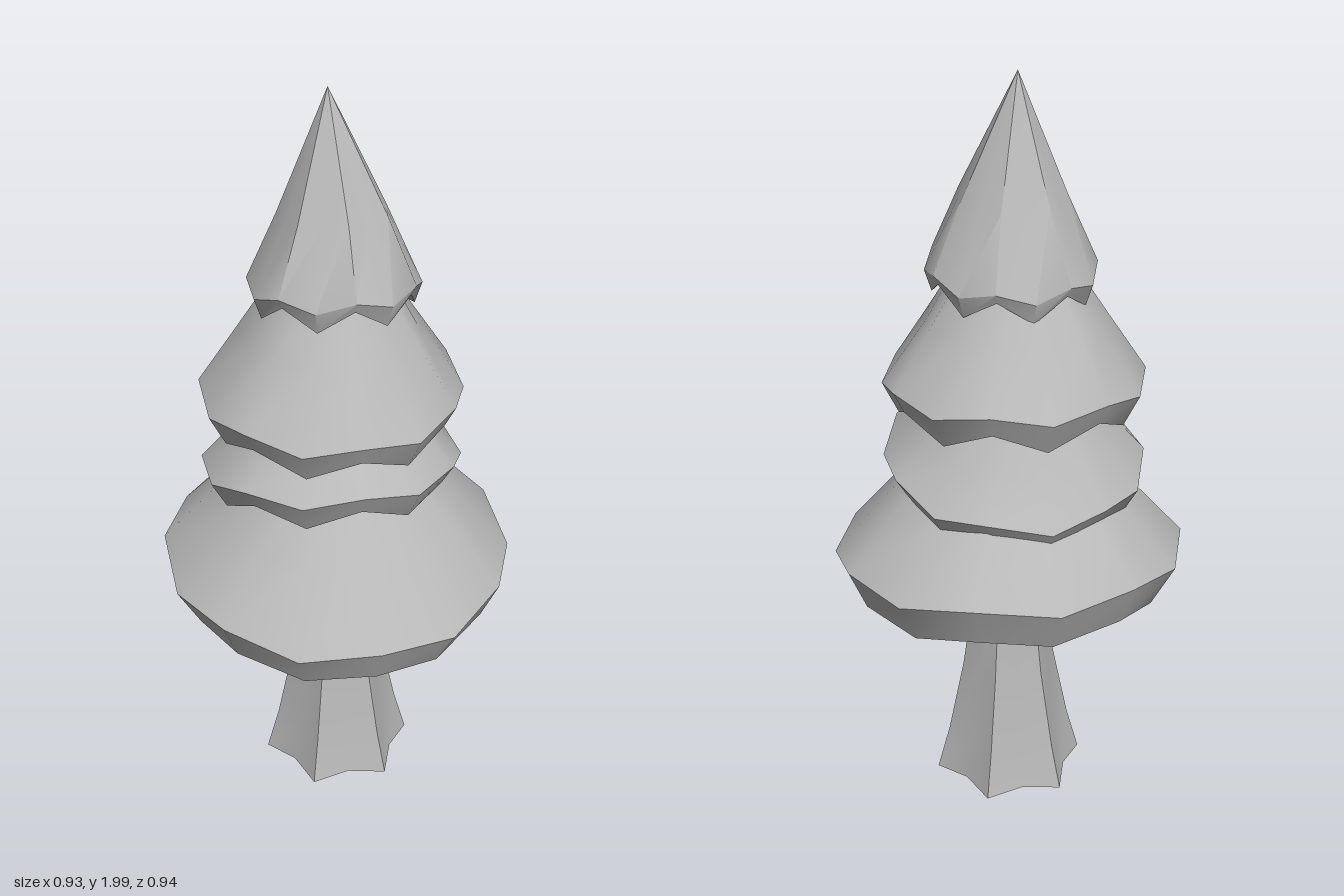
import * as THREE from 'three';
import { toCreasedNormals } from 'three/addons/utils/BufferGeometryUtils.js';

const grey = new THREE.MeshStandardMaterial({ color: 0xb8b8b8 });
grey.name = 'grey';

// Skin between rings listed from top to bottom. A ring gives the radius and height of
// its even columns (r, y) and odd columns (r2, y2), plus a tilt of height along z.
function loft(name, sides, turn, rings, crease) {
  const pos = [], index = [];
  rings.forEach(({ r, y, r2 = r, y2 = y, tilt = 0, x = 0, z = 0 }) => {
    for (let i = 0; i < sides; i++) {
      const a = turn + (i / sides) * Math.PI * 2;
      const rad = i % 2 ? r2 : r;
      const pz = Math.cos(a) * rad + z;
      pos.push(Math.sin(a) * rad + x, (i % 2 ? y2 : y) + tilt * pz, pz);
    }
  });
  for (let j = 0; j < rings.length - 1; j++) {
    for (let i = 0; i < sides; i++) {
      const n = (i + 1) % sides;
      const a = j * sides + i, b = j * sides + n, c = a + sides, d = b + sides;
      if (rings[j].r > 0) index.push(a, c, b);
      if (rings[j + 1].r > 0) index.push(b, c, d);
      else if (rings[j].r > 0) index.splice(index.length - 3, 3, a, c, b);
    }
  }
  const geo = new THREE.BufferGeometry();
  geo.setAttribute('position', new THREE.Float32BufferAttribute(pos, 3));
  geo.setIndex(index);
  const mesh = new THREE.Mesh(toCreasedNormals(geo, crease), grey);
  mesh.name = name;
  return mesh;
}

export function createModel() {
  const tree = new THREE.Group();
  tree.name = 'pineTree';

  // Flared trunk with root lobes
  tree.add(loft('trunk', 12, Math.PI / 6, [
    { r: 0.085, y: 0.72 },
    { r: 0.1, r2: 0.09, y: 0.58 },
    { r: 0.13, r2: 0.115, y: 0.36 },
    { r: 0.175, r2: 0.14, y: 0.14 },
    { r: 0.21, r2: 0.165, y: 0.012, y2: 0.02 },
    { r: 0, y: 0.03 },
  ], 0.8));

  // Leaf tiers: shoulder, widest ring, zigzag hem and hollow underside
  const tiers = [
    { name: 'bottomTier', top: [0.17, 1.06], mid: [0.33, 0.9, 0.315], wide: [0.472, 0.745],
      hem: [0.425, 0.635, 0.41, 0.605], under: 0.66, tilt: -0.09, x: 0, z: 0 },
    { name: 'lowerTier', top: [0.17, 1.22], mid: [0.27, 1.1, 0.255], wide: [0.345, 1.02],
      hem: [0.315, 0.97, 0.305, 0.92], under: 1.0, tilt: 0.19, x: -0.012, z: -0.012 },
    { name: 'upperTier', top: [0.13, 1.55], mid: [0.24, 1.385, 0.22], wide: [0.342, 1.235],
      hem: [0.315, 1.18, 0.3, 1.125], under: 1.19, tilt: -0.03, x: -0.012, z: -0.01 },
    { name: 'crown', top: [0, 2], mid: [0.14, 1.7, 0.125], wide: [0.218, 1.53],
      hem: [0.205, 1.505, 0.2, 1.45], under: 1.52, tilt: 0.1, x: -0.005, z: -0.005 },
  ];
  for (const { name, top, mid, wide, hem, under, tilt, x, z } of tiers) {
    const lean = { tilt, x, z };
    const isTip = top[0] === 0;
    tree.add(loft(name, 14, 0.04, [
      { r: top[0], y: top[1], x: isTip ? -0.018 : x, z: isTip ? -0.018 : z },
      { r: mid[0], y: mid[1], r2: mid[2], ...lean },
      { r: wide[0], y: wide[1], y2: wide[1] - 0.025, ...lean },
      { r: hem[0], y: hem[1], r2: hem[2], y2: hem[3], ...lean },
      { r: hem[0] * 0.6, y: under, ...lean },
      { r: 0, y: under + 0.01, ...lean },
    ], 0.75));
  }
  return tree;
}
